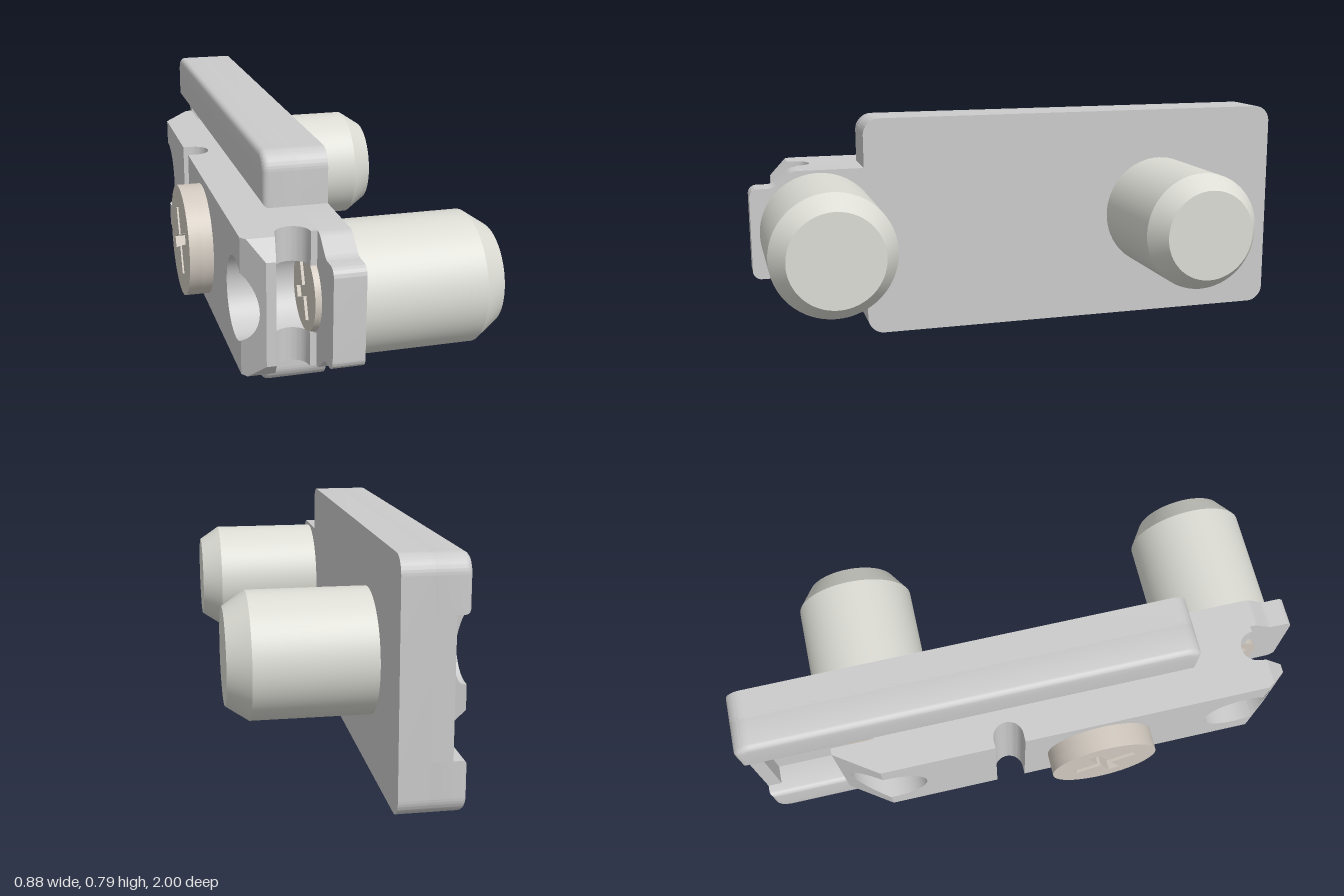
import * as THREE from 'three';
import { toCreasedNormals } from 'three/addons/utils/BufferGeometryUtils.js';

const CY = 0.395, Y0 = 0.175, Y1 = 0.615;   // pin axis height, body bottom and top
const BACK = -0.535, FRONT = 0.76;          // pin positions along z
const HOLE = 0.13;
const grey = new THREE.MeshStandardMaterial({ color: 0xcccccc });
const steel = new THREE.MeshStandardMaterial({ color: 0xdcdcd5 });
const warm = new THREE.MeshStandardMaterial({ color: 0xd2cac0 });

// polygon from [u, v, radius?] corners
function outline(corners) {
  const s = new THREE.Shape(), n = corners.length;
  corners.forEach(([x, y, r = 0], i) => {
    const p = new THREE.Vector2(x, y);
    const a = new THREE.Vector2(...corners[(i + n - 1) % n].slice(0, 2)).sub(p).normalize();
    const b = new THREE.Vector2(...corners[(i + 1) % n].slice(0, 2)).sub(p).normalize();
    const at = (d, k) => [x + d.x * k, y + d.y * k];
    const start = at(a, r);
    if (i) s.lineTo(...start); else s.moveTo(...start);
    if (r) s.bezierCurveTo(...at(a, r * 0.45), ...at(b, r * 0.45), ...at(b, r));
  });
  s.closePath();
  return s;
}

function arc(cx, cy, r, a0, a1, n = 28) {
  return Array.from({ length: n + 1 }, (_, i) => {
    const a = a0 + (a1 - a0) * i / n;
    return [cx + r * Math.cos(a), cy + r * Math.sin(a)];
  });
}

// extrude a (z, y) shape between two x positions
function extrudeX(shape, x0, x1, { bevel = 0, steps = 1, rule } = {}) {
  const g = new THREE.ExtrudeGeometry(shape, {
    depth: x1 - x0 - 2 * bevel, steps, curveSegments: 32, bevelEnabled: bevel > 0,
    bevelThickness: bevel, bevelSize: bevel, bevelOffset: -bevel, bevelSegments: 4,
  });
  g.rotateY(-Math.PI / 2).translate(x1 - bevel, 0, 0);
  if (rule) {
    const p = g.attributes.position, v = new THREE.Vector3();
    for (let i = 0; i < p.count; i++) {
      v.fromBufferAttribute(p, i);
      rule(v);
      p.setXYZ(i, v.x, v.y, v.z);
    }
  }
  return g;
}

function cross(z, len, w) {
  const pts = [];
  for (let i = 0; i < 4; i++) {
    const c = Math.cos(i * Math.PI / 2 + 0.4), s = Math.sin(i * Math.PI / 2 + 0.4);
    for (const [a, b] of [[len, -w], [len, w], [w, w]]) pts.push([z + a * c - b * s, CY + a * s + b * c]);
  }
  return pts.map(p => new THREE.Vector2(...p));
}

export function createModel() {
  const model = new THREE.Group();
  const add = (parent, name, geo, mat = grey) => {
    const m = new THREE.Mesh(toCreasedNormals(geo, 0.45), mat);
    m.name = name;
    parent.add(m);
    return m;
  };
  const group = name => {
    const g = new THREE.Group();
    g.name = name;
    model.add(g);
    return g;
  };

  // Housing: base plate with front tongue, two side rails and an end sill
  const housing = group('housing');
  add(housing, 'basePlate', extrudeX(outline([
    [-1, 0, 0.06], [0.6, 0, 0.06], [0.6, Y0], [0.85, Y0, 0.015], [0.92, 0.235, 0.015], [1, 0.235, 0.03],
    [1, 0.557, 0.03], [0.92, 0.557, 0.015], [0.85, Y1, 0.015], [0.6, Y1], [0.6, 0.79, 0.06], [-1, 0.79, 0.06],
  ]), -0.13, -0.03));
  add(housing, 'lowerRail', extrudeX(outline([[-1, 0, 0.06], [0.6, 0, 0.06], [0.6, Y0], [-1, Y0]]),
    -0.24, -0.1, { bevel: 0.02 }));
  add(housing, 'upperRail', extrudeX(outline([[-1, Y1], [0.6, Y1], [0.6, 0.79, 0.06], [-1, 0.79, 0.06]]),
    -0.24, -0.1, { bevel: 0.02 }));
  add(housing, 'endSill', extrudeX(outline([[-1, Y0 - 0.02], [-0.95, Y0 - 0.02], [-0.95, Y1 + 0.02], [-1, Y1 + 0.02]]),
    -0.195, -0.12));

  // Sliding body, rear half: bored block and chamfered overhanging end
  const body = group('slidingBody');
  const a = Math.acos((-0.55 - BACK) / HOLE);
  add(body, 'rearBlock', extrudeX(outline([
    [-0.55, Y0], [-0.15, Y0], [-0.15, Y1], [-0.55, Y1], ...arc(BACK, CY, HOLE, a, -a),
  ]), -0.365, -0.13));
  add(body, 'rearChamfer', extrudeX(outline([
    [-0.55, Y1], [-0.7, Y1], [-0.7, Y0], [-0.55, Y0], ...arc(BACK, CY, HOLE, 2 * Math.PI - a, a),
  ]), -0.365, -0.24, { rule: v => { v.x = Math.max(v.x, -0.365 + (-0.55 - v.z) * 0.68); } }));

  // Round-bottomed slot across the body
  const slot = new THREE.ExtrudeGeometry(outline([
    [-0.13, -0.15], ...arc(-0.335, -0.0975, 0.0525, -Math.PI / 2, Math.PI / 2, 20), [-0.13, -0.045],
  ]), { depth: Y1 - Y0, bevelEnabled: false });
  add(body, 'slotFloor', slot.rotateX(Math.PI / 2).translate(0, Y1, 0));

  // Front half: bored block whose end is hollowed by a vertical groove
  const b = Math.acos((0.83 - FRONT) / HOLE);
  add(body, 'frontBlock', extrudeX(outline([
    [0.83, Y1], [-0.045, Y1], [-0.045, Y0], [0.83, Y0], ...arc(FRONT, CY, HOLE, 2 * Math.PI - b, b),
  ]), -0.365, -0.13, {
    steps: 47,
    rule: v => {
      const d = 0.055 ** 2 - (v.x + 0.205) ** 2;
      if (v.z > 0.77 && d > 0) v.z = 0.77 + (v.z - 0.77) * (0.06 - Math.sqrt(d)) / 0.06;
    },
  }));
  add(body, 'frontTip', extrudeX(outline([
    [0.83, Y0], [0.85, Y0], [0.91, 0.23], [0.91, 0.56], [0.85, Y1], [0.83, Y1], ...arc(FRONT, CY, HOLE, b, -b),
  ]), -0.365, -0.26, {
    rule: v => { v.x += (v.z - 0.83) * (v.x < -0.3 ? 0.75 : -0.19); },
  }));

  // Screw heads with a cross recess
  const screw = (name, z, r, x0, x1, len, w) => {
    const s = new THREE.Shape().absarc(z, CY, r, 0, Math.PI * 2);
    const solid = s.clone();
    s.holes.push(new THREE.Path(cross(z, len, w)));
    const g = group(name), mid = (x0 + x1) / 2;
    add(g, 'slottedFace', extrudeX(s, x0, mid), warm);
    add(g, 'headBase', extrudeX(solid, mid, x1), warm);
  };
  screw('clampScrew', 0.23, 0.19, -0.445, -0.36, 0.115, 0.02);
  screw('rearPinScrew', BACK, 0.125, -0.17, -0.125, 0.09, 0.018);
  screw('frontPinScrew', FRONT, 0.125, -0.15, -0.125, 0.09, 0.018);

  // Chamfered pins
  for (const [name, z] of [['rearPin', BACK], ['frontPin', FRONT]]) {
    const profile = [[0, -0.04], [0.21, -0.04], [0.21, 0.365], [0.16, 0.44], [0, 0.44]];
    const pin = new THREE.LatheGeometry(profile.map(p => new THREE.Vector2(...p)), 64);
    add(model, name, pin.rotateZ(-Math.PI / 2).translate(0, CY, z), steel);
  }
  return model;
}
